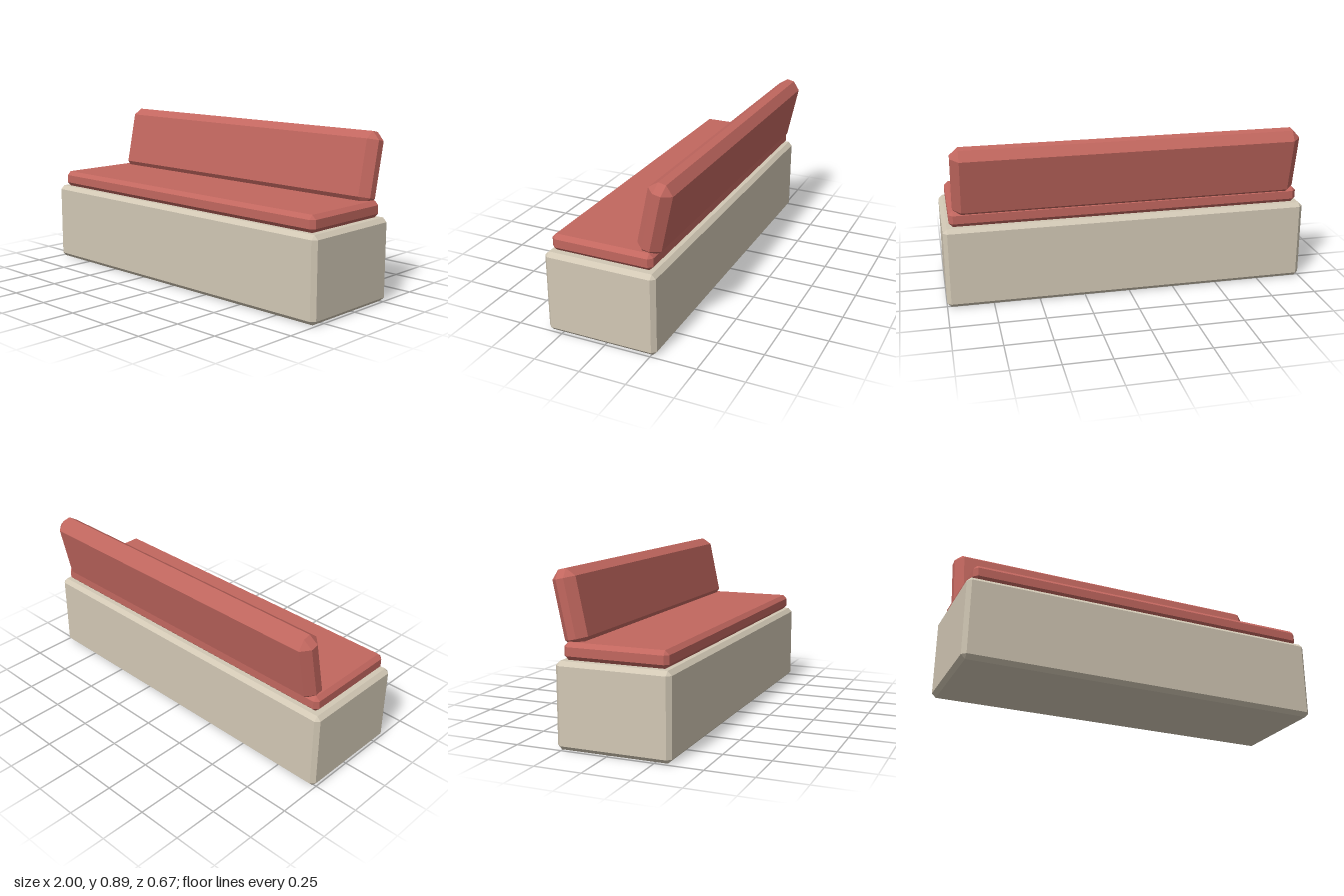
import * as THREE from 'three';
import { ConvexGeometry } from 'three/addons/geometries/ConvexGeometry.js';

// Box with flat 45-degree bevels on every edge, centred on the origin
function bevelledBox(width, height, depth, bevel) {
  const half = [width / 2, height / 2, depth / 2];
  const points = [];
  for (const sx of [-1, 1]) for (const sy of [-1, 1]) for (const sz of [-1, 1]) {
    for (let axis = 0; axis < 3; axis++) {
      const [x, y, z] = half.map((h, i) => (i === axis ? h : h - bevel));
      points.push(new THREE.Vector3(sx * x, sy * y, sz * z));
    }
  }
  return new ConvexGeometry(points);
}

export function createModel() {
  const cream = new THREE.MeshStandardMaterial({ color: 0xd2c8b5 });
  cream.name = 'cream';
  const red = new THREE.MeshStandardMaterial({ color: 0xc2675f });
  red.name = 'red upholstery';
  cream.flatShading = red.flatShading = true;

  const bench = new THREE.Group();
  bench.name = 'bench';
  const add = (name, geometry, material, y, z) => {
    const mesh = new THREE.Mesh(geometry, material);
    mesh.name = name;
    mesh.position.set(0, y, z);
    bench.add(mesh);
    return mesh;
  };

  // Solid plinth with the seat cushion resting on it
  add('base', bevelledBox(2, 0.445, 0.611, 0.022), cream, 0.2225, 0.0275);
  add('seatCushion', bevelledBox(1.93, 0.089, 0.556, 0.022), red, 0.489, 0.0285);

  // Backrest leaning backwards, its lower edge sunk into the seat
  const backrest = add('backrest', bevelledBox(1.886, 0.388, 0.131, 0.044), red, 0.691, -0.2375);
  backrest.rotation.x = THREE.MathUtils.degToRad(-12);

  return bench;
}
